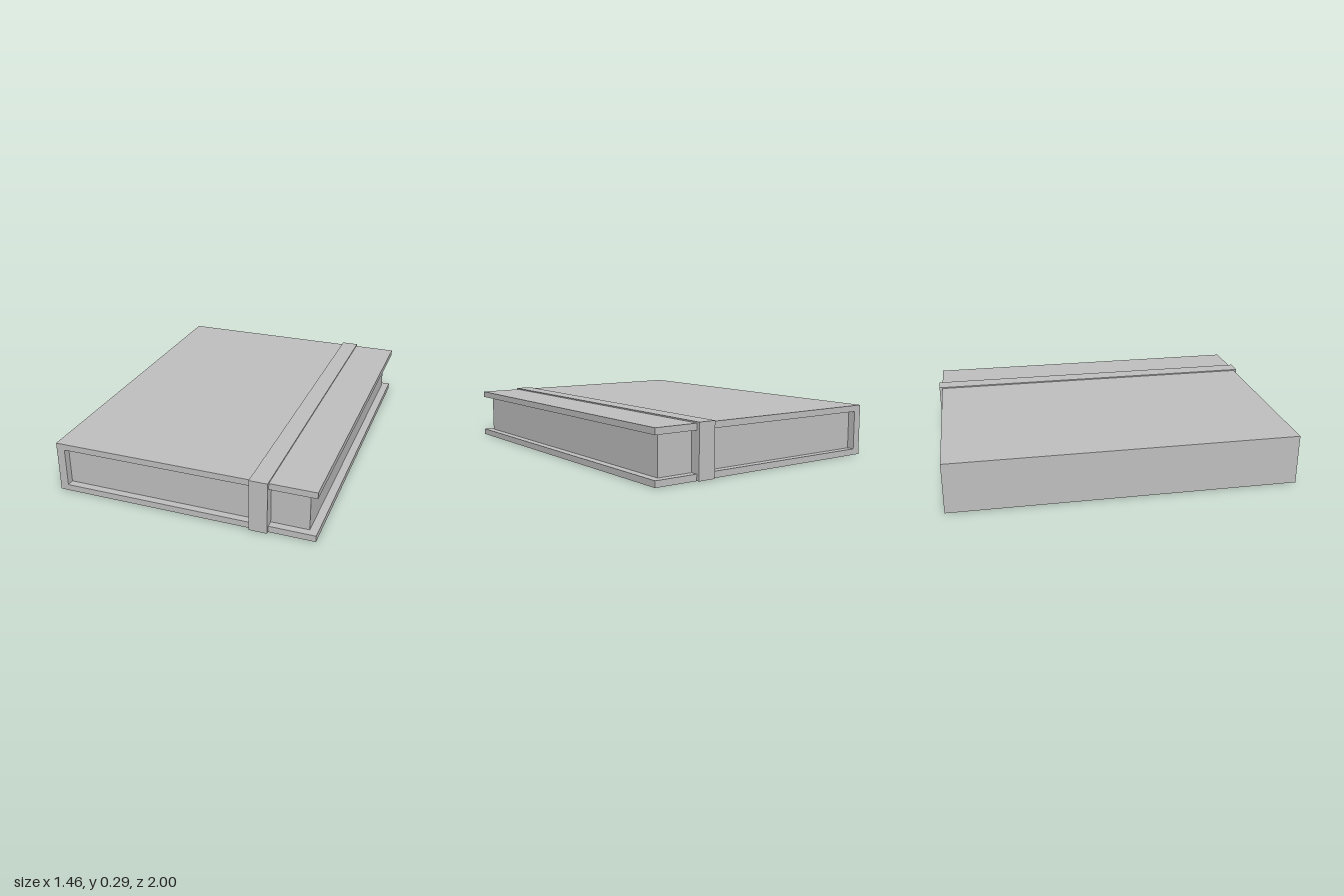
import * as THREE from 'three';

const grey = new THREE.MeshStandardMaterial({ color: 0xbfbfbf });
grey.name = 'plain grey';

// Box given by its lower and upper corners
function block(name, [x0, y0, z0], [x1, y1, z1]) {
  const geometry = new THREE.BoxGeometry(x1 - x0, y1 - y0, z1 - z0);
  geometry.translate((x0 + x1) / 2, (y0 + y1) / 2, (z0 + z1) / 2);
  const mesh = new THREE.Mesh(geometry, grey);
  mesh.name = name;
  return mesh;
}

export function createModel() {
  const book = new THREE.Group();
  book.name = 'closedBook';

  // Binding: a C-shaped section run along the length, open on the +x side
  const x = 0.732, spineX = -0.685, top = 0.288, halfLength = 0.982;
  const section = new THREE.Shape([
    [-x, 0], [x, 0], [x, 0.035], [spineX, 0.035],
    [spineX, 0.253], [x, 0.253], [x, top], [-x, top],
  ].map(([px, py]) => new THREE.Vector2(px, py)));
  const geometry = new THREE.ExtrudeGeometry(section, { depth: 2 * halfLength, bevelEnabled: false });
  geometry.translate(0, 0, -halfLength);
  const binding = new THREE.Mesh(geometry, grey);
  binding.name = 'coversAndSpine';

  // Page block set back from the cover edges
  const pages = block('pages', [spineX, 0.035, -0.94], [0.687, 0.253, 0.94]);

  // Closing strap, standing slightly proud of the cover and both ends
  const strap = block('strap', [0.38, 0.001, -1], [0.48, 0.295, 1]);

  book.add(binding, pages, strap);
  return book;
}
